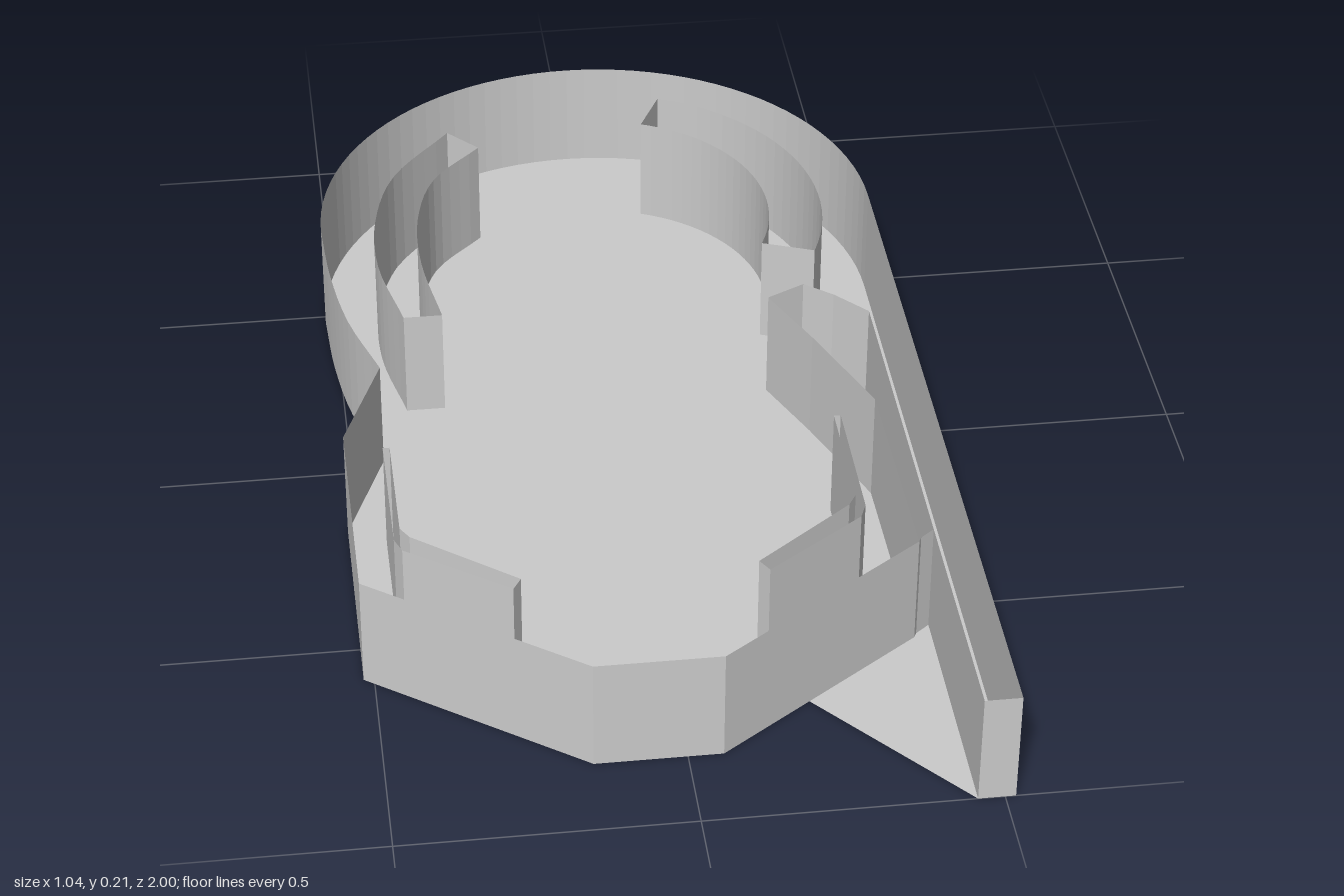
import * as THREE from 'three';

const HEIGHT = 0.208;

export function createModel() {
  const group = new THREE.Group();
  const material = new THREE.MeshStandardMaterial({ color: 0xcccccc, side: THREE.DoubleSide });

  const arc = (cx, cz, r, a0, a1, n) => Array.from({ length: n + 1 }, (_, i) => {
    const a = THREE.MathUtils.degToRad(a0 + (a1 - a0) * i / n);
    return [cx + r * Math.cos(a), cz - r * Math.sin(a)];
  });
  const smooth = (pts, n = 20) => new THREE.CatmullRomCurve3(
    pts.map(([x, z]) => new THREE.Vector3(x, 0, z))).getPoints(n).map(p => [p.x, p.z]);

  // Thin upright sheet following a plan path of [x, z] points
  function addWall(name, path, closed = false) {
    const pts = closed ? [...path, path[0]] : path;
    const pos = [];
    for (let i = 0; i < pts.length - 1; i++) {
      const [ax, az] = pts[i], [bx, bz] = pts[i + 1];
      pos.push(ax, 0, az, bx, 0, bz, bx, HEIGHT, bz, ax, 0, az, bx, HEIGHT, bz, ax, HEIGHT, az);
    }
    const geo = new THREE.BufferGeometry();
    geo.setAttribute('position', new THREE.Float32BufferAttribute(pos, 3));
    geo.computeVertexNormals();
    const mesh = new THREE.Mesh(geo, material);
    mesh.name = name;
    group.add(mesh);
  }

  // Outer boundary: lane, rounded back, waist and angled front
  const dome = arc(0, -0.48, 0.518, 0, 180, 48);
  const waist = smooth([[-0.518, -0.48], [-0.51, -0.33], [-0.487, -0.18], [-0.44, -0.03]], 12).slice(1);
  const front = [[-0.518, 0.17], [-0.518, 0.58], [-0.157, 0.84], [0.06, 0.84]];
  const rim = [[0.455, 1], [0.518, 1], ...dome, ...waist, ...front];

  // Flat floor
  const shape = new THREE.Shape([...rim, [0.22, 0.725]].map(([x, z]) => new THREE.Vector2(x, -z)));
  const floor = new THREE.Mesh(new THREE.ShapeGeometry(shape).rotateX(-Math.PI / 2), material);
  floor.name = 'floor';
  group.add(floor);

  addWall('outerWall', rim);
  addWall('laneWall', [[0.455, 1], [0.455, -0.1]]);
  addWall('frontRightWall', [[0.06, 0.84], [0.425, 0.58], [0.43, 0.57], [0.455, 0.55]]);

  // Hollow waist block beside the lane
  addWall('waistBlock', [[0.425, 0.58], [0.42, 0.17], [0.34, -0.03], [0.28, -0.165],
    [0.35, -0.2], [0.4, -0.16], [0.455, -0.1]]);

  // Hollow curved guides inside the round end
  addWall('leftGuide', [
    ...smooth([[-0.386, -0.18], [-0.42, -0.35], [-0.415, -0.5], [-0.37, -0.65], [-0.255, -0.795]]),
    ...smooth([[-0.2, -0.735], [-0.295, -0.63], [-0.335, -0.5], [-0.34, -0.35], [-0.316, -0.18]])], true);
  addWall('rightGuide', [
    ...arc(0, -0.48, 0.425, 67, -24, 24),
    ...arc(0, -0.48, 0.325, -25, 68, 24)], true);

  // Mirrored angled rails about the centre line of the front field
  for (const [name, s] of [['rightRail', 1], ['leftRail', -1]]) {
    addWall(name, [[0.39, 0.21], [0.39, 0.44], [0.375, 0.465], [0.2, 0.6],
      [0.215, 0.625], [0.39, 0.5], [0.402, 0.47], [0.402, 0.21]].map(([x, z]) => [-0.05 + s * x, z]), true);
  }
  return group;
}
